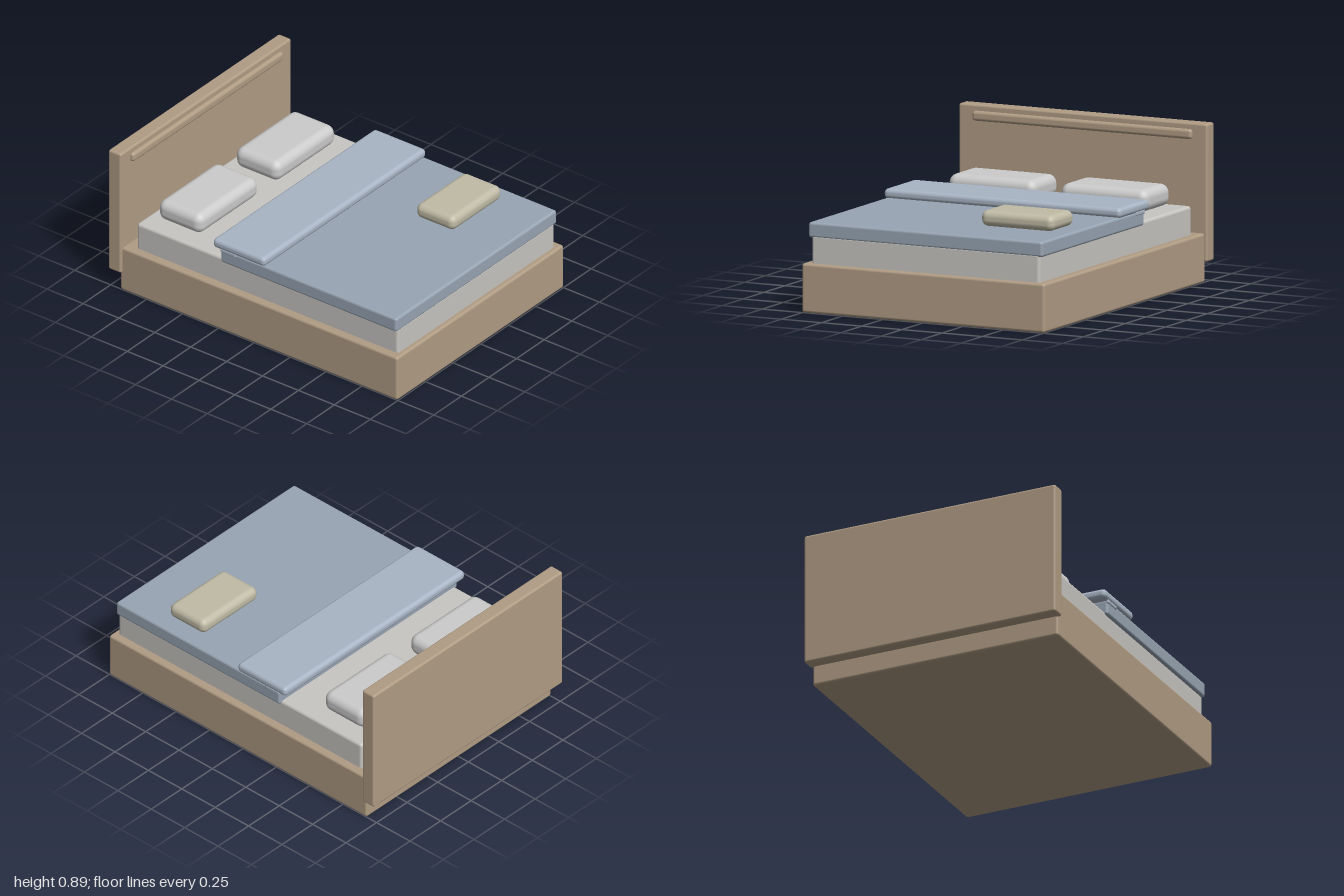
import * as THREE from 'three';
import { RoundedBoxGeometry } from 'three/addons/geometries/RoundedBoxGeometry.js';

const material = (color) => new THREE.MeshStandardMaterial({ color });

export function createModel() {
  const bed = new THREE.Group();
  bed.name = 'bed';

  const wood = material(0xb09c84);
  const linen = material(0xc8c6c2);
  const white = material(0xcccccc);
  const blue = material(0x98a5b3);
  const paleBlue = material(0xa9b5c5);
  const beige = material(0xc0bba6);

  // Soft-edged block given by its [min, max] extent on each axis
  function block(name, [x0, x1], [y0, y1], [z0, z1], radius, mat, segments = 4) {
    const geometry = new RoundedBoxGeometry(x1 - x0, y1 - y0, z1 - z0, segments, radius);
    const mesh = new THREE.Mesh(geometry, mat);
    mesh.name = name;
    mesh.position.set((x0 + x1) / 2, (y0 + y1) / 2, (z0 + z1) / 2);
    bed.add(mesh);
  }

  // Wooden frame
  block('base', [-0.755, 0.755], [0, 0.275], [-0.93, 1], 0.015, wood);
  block('headboard', [-0.773, 0.773], [0.115, 0.887], [-1, -0.912], 0.013, wood);
  block('headboardRail', [-0.683, 0.683], [0.797, 0.853], [-0.945, -0.892], 0.018, wood);

  // Mattress and covers
  block('mattress', [-0.71, 0.71], [0.255, 0.436], [-0.85, 0.97], 0.018, linen);
  block('duvet', [-0.728, 0.728], [0.417, 0.504], [-0.252, 0.972], 0.015, blue);
  block('sheetEdge', [-0.733, 0.733], [0.483, 0.508], [-0.252, -0.145], 0.008, paleBlue);
  block('duvetFold', [-0.737, 0.737], [0.498, 0.555], [-0.304, 0.058], 0.024, paleBlue);

  // Pair of pillows
  for (const [side, name] of [[-1, 'rightPillow'], [1, 'leftPillow']]) {
    const x = 0.349 * side;
    block(name, [x - 0.272, x + 0.272], [0.442, 0.567], [-0.781, -0.475], 0.05, white, 6);
  }

  // Small cushion near the foot
  block('cushion', [0.182, 0.634], [0.506, 0.595], [0.4, 0.668], 0.038, beige, 6);

  return bed;
}
